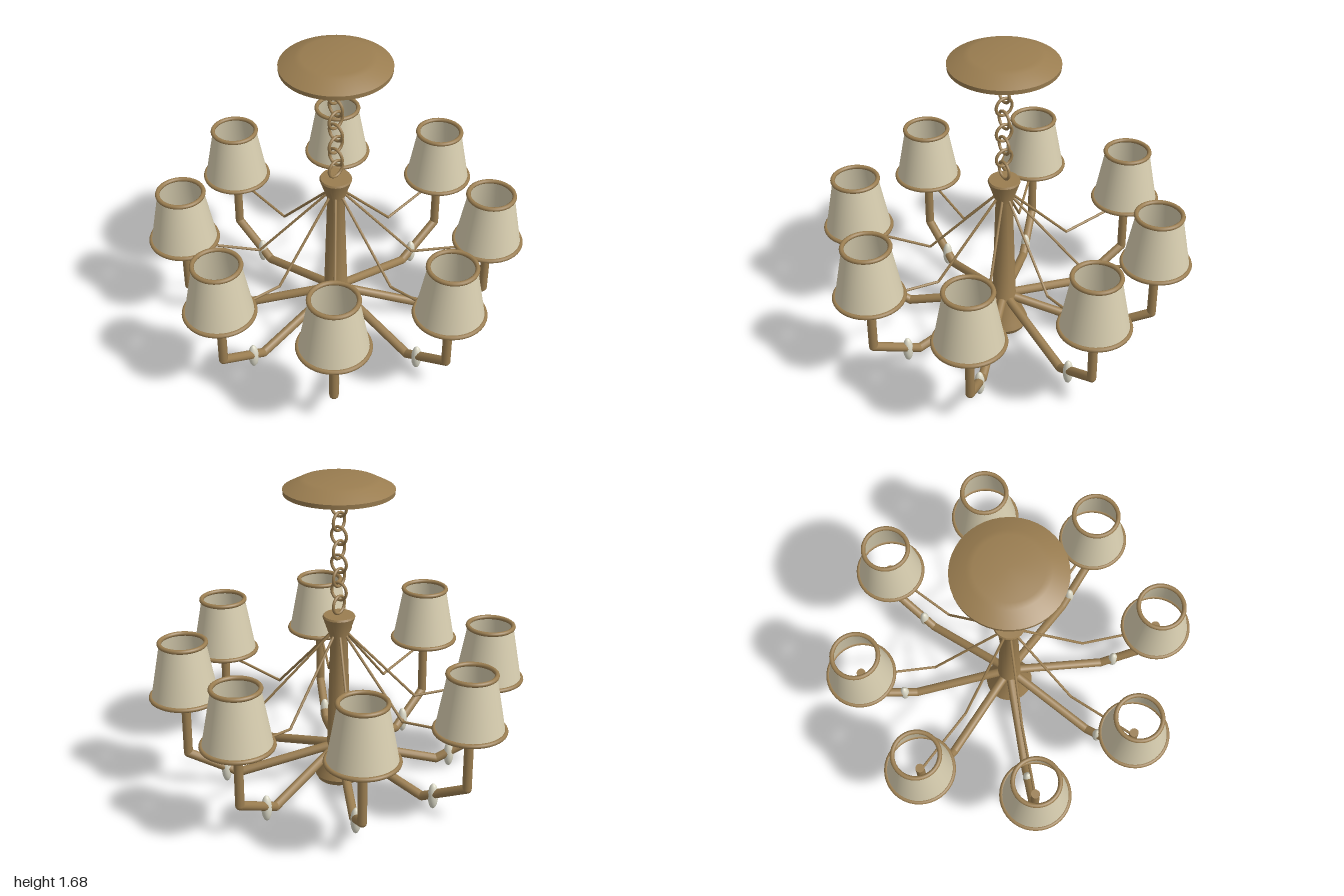
import * as THREE from 'three';
import { toCreasedNormals } from 'three/addons/utils/BufferGeometryUtils.js';

const brass = new THREE.MeshStandardMaterial({ color: 0x9a7d50 });
const fabric = new THREE.MeshStandardMaterial({ color: 0xd8ceb0, side: THREE.DoubleSide });
const crystal = new THREE.MeshStandardMaterial({ color: 0xdcdac8 });

const ARMS = 8;
const ARM_REACH = 0.81;

function add(parent, name, geometry, material, x = 0, y = 0, z = 0) {
  const mesh = new THREE.Mesh(geometry, material);
  mesh.name = name;
  mesh.position.set(x, y, z);
  parent.add(mesh);
  return mesh;
}

// Turned part with sharp edges kept; profile runs bottom to top
function turned(profile, sides) {
  const points = profile.map(([r, y]) => new THREE.Vector2(r, y));
  return toCreasedNormals(new THREE.LatheGeometry(points, sides), 0.5);
}

// Straight rods along a path in the xy plane, with rounded joints at the bends
function rods(parent, name, path, radius, sides) {
  const up = new THREE.Vector3(0, 1, 0);
  for (let i = 0; i < path.length - 1; i++) {
    const a = new THREE.Vector3(...path[i], 0);
    const b = new THREE.Vector3(...path[i + 1], 0);
    const rod = add(parent, name, new THREE.CylinderGeometry(radius, radius, a.distanceTo(b), sides), brass);
    rod.position.copy(a).add(b).multiplyScalar(0.5);
    rod.quaternion.setFromUnitVectors(up, b.sub(a).normalize());
    if (i > 0) add(parent, name + 'Joint', new THREE.SphereGeometry(radius, sides, 8), brass, ...path[i]);
  }
}

function ring(parent, name, radius, tube, y) {
  const mesh = add(parent, name, new THREE.TorusGeometry(radius, tube, 10, 40), brass, ARM_REACH, y);
  mesh.rotation.x = Math.PI / 2;
}

// One arm pointing along +x with its shade, crystal drop and stay wire
function createArm() {
  const arm = new THREE.Group();
  arm.name = 'arm';
  rods(arm, 'armTube', [[0, 0.2], [0.54, 0.062], [ARM_REACH, 0.2], [ARM_REACH, 0.56]], 0.024, 12);
  rods(arm, 'stayWire', [[0.03, 0.86], [0.41, 0.455], [ARM_REACH, 0.508]], 0.007, 8);

  const drop = add(arm, 'crystalDrop', new THREE.SphereGeometry(1, 20, 14), crystal, 0.61, 0.087);
  drop.scale.set(0.027, 0.073, 0.027);

  add(arm, 'shade', new THREE.CylinderGeometry(0.12, 0.175, 0.3, 40, 1, true), fabric, ARM_REACH, 0.69);
  ring(arm, 'shadeTopRing', 0.12, 0.012, 0.84);
  ring(arm, 'shadeBottomRing', 0.177, 0.012, 0.54);
  return arm;
}

export function createModel() {
  const model = new THREE.Group();
  model.name = 'chandelier';

  // Ceiling plate
  add(model, 'canopy', turned([[0, 1.605], [0.28, 1.605], [0.282, 1.628], [0.2, 1.67], [0.17, 1.677], [0, 1.68]], 48), brass);

  // Chain of alternating links
  for (let i = 0; i < 8; i++) {
    const link = add(model, 'chainLink', new THREE.TorusGeometry(0.047, 0.008, 8, 28), brass, 0, 1.53 - i * 0.075);
    link.rotation.y = (i % 2) * Math.PI / 2;
  }

  // Central stem with flared foot and cup
  add(model, 'column', turned([
    [0, 0], [0.115, 0], [0.13, 0.03], [0.12, 0.055], [0.065, 0.19],
    [0.045, 0.82], [0.085, 0.94], [0.08, 0.95], [0, 0.95]], 32), brass);

  for (let i = 0; i < ARMS; i++) {
    const arm = createArm();
    arm.rotation.y = i * Math.PI * 2 / ARMS;
    model.add(arm);
  }
  return model;
}
